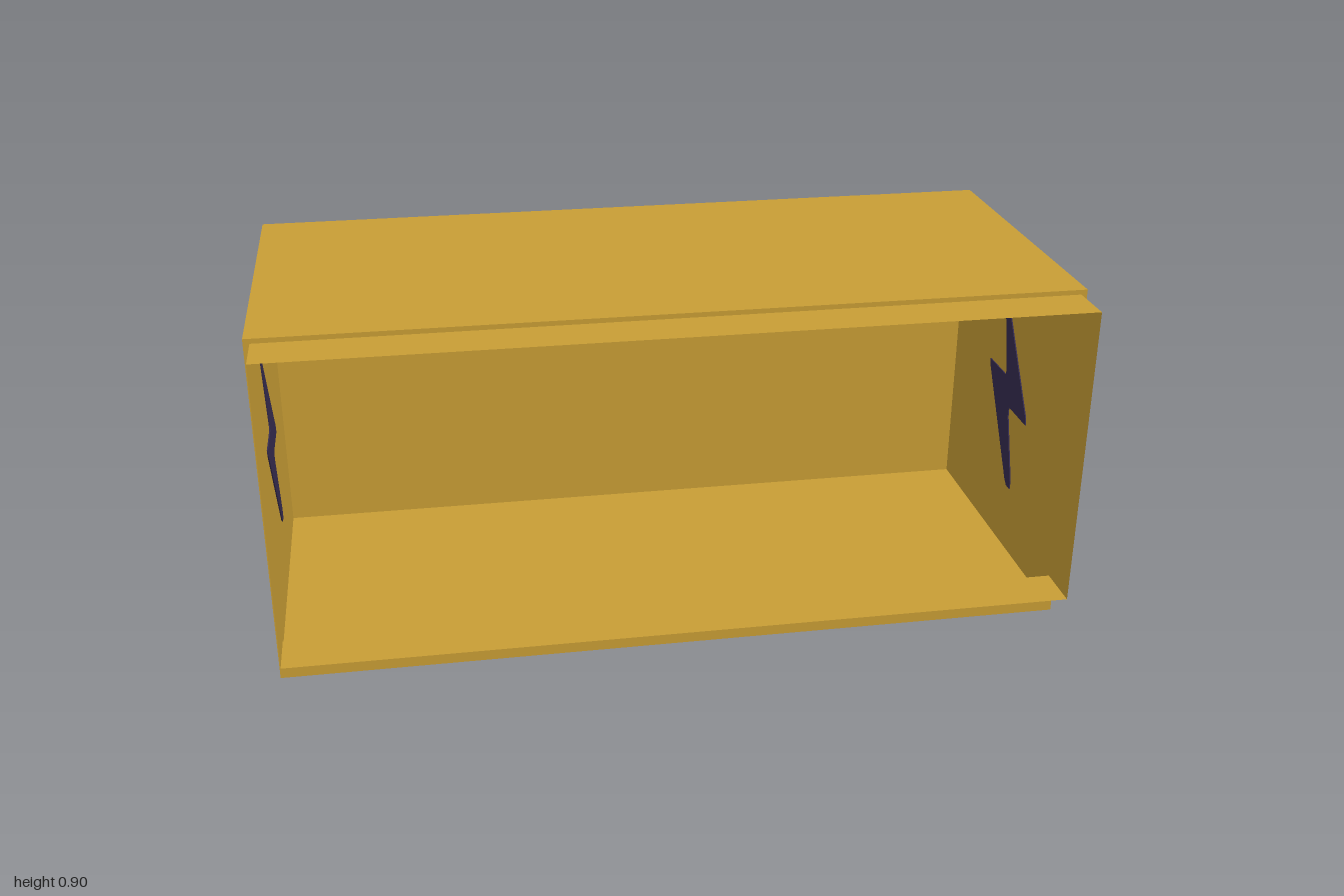
import * as THREE from 'three';

export function createModel() {
  const gold = new THREE.MeshStandardMaterial({ color: 0xc89d35, side: THREE.DoubleSide });
  gold.name = 'gold';
  const indigo = new THREE.MeshStandardMaterial({ color: 0x362c50 });
  indigo.name = 'indigo';

  const model = new THREE.Group();
  model.name = 'openCrate';

  const BACK = -0.4875, RIM = 0.365, FRONT = 0.4875;
  const outer = { x: 1, y0: 0, y1: 0.9 };
  const inner = { x: 0.985, y0: 0.105, y1: 0.888 };

  const add = (parent, name, geometry, material) => {
    const mesh = new THREE.Mesh(geometry, material);
    mesh.name = name;
    parent.add(mesh);
    return mesh;
  };

  // Four thin walls forming a rectangular tube along z
  function tube(name, { x, y0, y1 }, z0, z1) {
    const group = new THREE.Group();
    group.name = name;
    const depth = z1 - z0, z = (z0 + z1) / 2;
    for (const s of [-1, 1]) {
      const side = add(group, s > 0 ? 'leftWall' : 'rightWall', new THREE.PlaneGeometry(depth, y1 - y0), gold);
      side.rotation.y = s * Math.PI / 2;
      side.position.set(s * x, (y0 + y1) / 2, z);
      const flat = add(group, s > 0 ? 'topWall' : 'bottomWall', new THREE.PlaneGeometry(2 * x, depth), gold);
      flat.rotation.x = -s * Math.PI / 2;
      flat.position.set(0, s > 0 ? y1 : y0, z);
    }
    model.add(group);
  }

  const rectangle = (path, { x, y0, y1 }) =>
    path.moveTo(-x, y0).lineTo(x, y0).lineTo(x, y1).lineTo(-x, y1).closePath();

  // Main body and the narrower collar around the opening
  tube('body', outer, BACK, RIM);
  tube('collar', inner, RIM, FRONT);

  // Back panel
  const back = add(model, 'backPanel', new THREE.PlaneGeometry(2, 0.9), gold);
  back.rotation.y = Math.PI;
  back.position.set(0, 0.45, BACK);

  // Front rim joining body and collar
  const rimShape = new THREE.Shape();
  rectangle(rimShape, outer);
  const hole = new THREE.Path();
  rectangle(hole, inner);
  rimShape.holes.push(hole);
  add(model, 'frontRim', new THREE.ShapeGeometry(rimShape), gold).position.z = RIM;

  // Lightning bolts, showing on both faces of each end wall
  const boltShape = new THREE.Shape([
    [0.068, 0.714], [0.055, 0.703], [0.015, 0.645], [-0.14, 0.43], [-0.143, 0.41],
    [-0.022, 0.41], [-0.018, 0.4], [-0.02, 0.38], [-0.079, 0.21], [-0.078, 0.185],
    [-0.055, 0.185], [-0.04, 0.198], [0.14, 0.472], [0.144, 0.49], [0.024, 0.49],
    [0.02, 0.505], [0.073, 0.7],
  ].map(([u, v]) => new THREE.Vector2(u, v)));
  const boltGeometry = new THREE.ExtrudeGeometry(boltShape, { depth: 0.006, bevelEnabled: false });
  boltGeometry.translate(0, 0, -0.003);
  for (const s of [-1, 1]) {
    const bolt = add(model, s > 0 ? 'leftBolt' : 'rightBolt', boltGeometry, indigo);
    bolt.rotation.y = s * Math.PI / 2;
    bolt.position.set(s, 0, -0.06);
  }

  return model;
}
